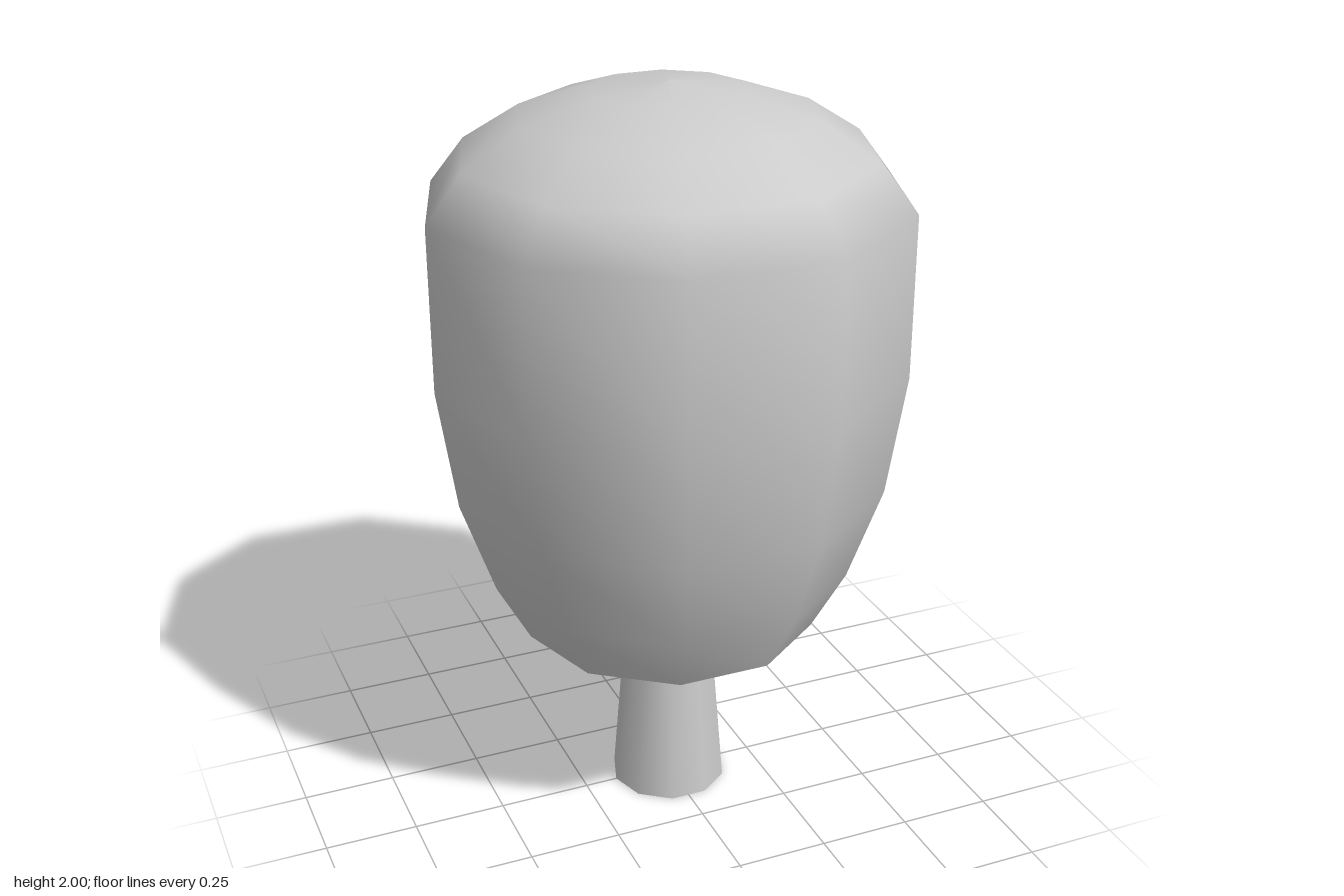
import * as THREE from 'three';

const SIDES = 10;
const CROWN_BASE = 0.525;

export function createModel() {
  const model = new THREE.Group();
  model.name = 'tree';
  const material = new THREE.MeshStandardMaterial({ color: 0xcccccc, side: THREE.DoubleSide });

  const add = (name, geometry, parent = model) => {
    const mesh = new THREE.Mesh(geometry, material);
    mesh.name = name;
    parent.add(mesh);
    return mesh;
  };

  // Trunk: open tapered tube, with a corner on the x axis
  const trunk = add('trunk', new THREE.CylinderGeometry(0.118, 0.16, CROWN_BASE, SIDES, 1, true, Math.PI / 2));
  trunk.position.y = CROWN_BASE / 2;

  // Crown: smooth ten-sided foliage with a flat underside
  const crown = new THREE.Group();
  crown.name = 'crown';
  model.add(crown);

  const profile = [
    [0.4, CROWN_BASE], [0.49, 0.69], [0.58, 0.95], [0.628, 1.275], [0.628, 1.705],
    [0.535, 1.825], [0.385, 1.92], [0.2, 1.98], [0, 2],
  ].map(([r, y]) => new THREE.Vector2(r, y));
  add('foliage', new THREE.LatheGeometry(profile, SIDES, Math.PI / 2), crown);

  const underside = add('foliageUnderside', new THREE.CircleGeometry(0.4, SIDES).rotateX(Math.PI / 2), crown);
  underside.position.y = CROWN_BASE;

  return model;
}
